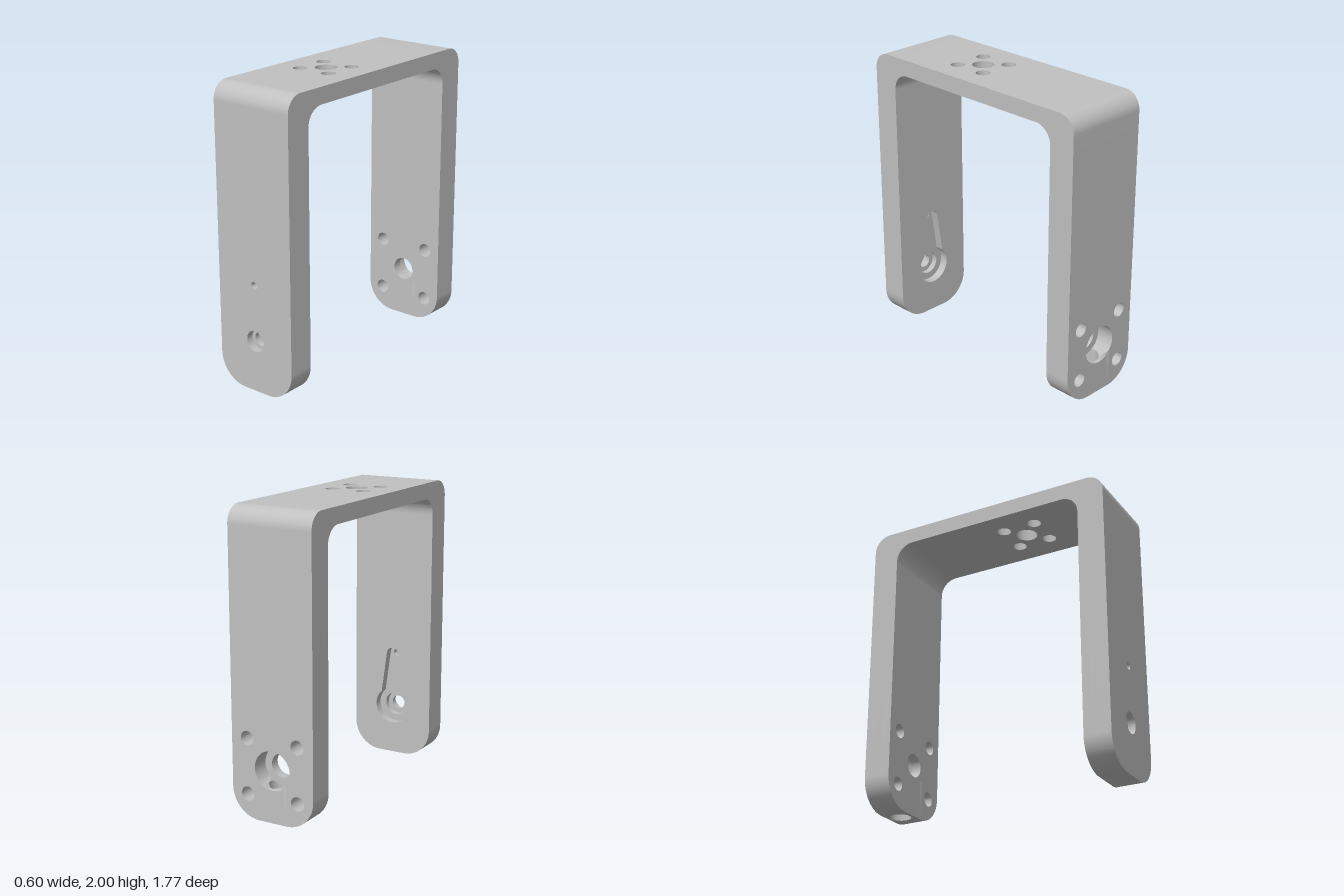
import * as THREE from 'three';
import { toCreasedNormals } from 'three/addons/utils/BufferGeometryUtils.js';

const W = 0.3, OUT = 0.885, IN = 0.70, H = 2, UNDER = 1.89;
const R_IN = 0.12, R_OUT = 0.115, SPRING = UNDER - R_IN, BEND = IN - R_IN;
const FLAT = 0.1, FOOT = 0.2;          // flat width and corner radius of the leg ends
const AXIS = 0.35, BORE = 0.13;        // pivot height and rear bore radius
const NOTCH = AXIS - Math.sqrt(BORE ** 2 - FLAT ** 2);

const circle = (x, y, r) => new THREE.Path().absarc(x, y, r, 0, Math.PI * 2, false);

const extrude = (shape, depth) =>
  new THREE.ExtrudeGeometry(shape, { depth, bevelEnabled: false, curveSegments: 36 });

// Leg outline; the rear leg leaves room for the drilled foot block
function legShape(holes, notch) {
  const s = new THREE.Shape();
  s.moveTo(FLAT, 0);
  s.absarc(FLAT, FOOT, FOOT, -Math.PI / 2, 0, false);
  s.lineTo(W, SPRING);
  s.lineTo(-W, SPRING);
  s.lineTo(-W, FOOT);
  s.absarc(-FLAT, FOOT, FOOT, Math.PI, Math.PI * 1.5, false);
  if (notch) {
    const a = Math.atan2(NOTCH - AXIS, FLAT);
    s.lineTo(-FLAT, NOTCH);
    s.absarc(0, AXIS, BORE, -Math.PI - a, a, notch === 'bore');
    s.lineTo(FLAT, 0);
  }
  s.holes.push(...holes);
  return s;
}

// Pocket for a tapered lever arm with a round hub
function leverPocket() {
  const p = new THREE.Path();
  const armX = 0.088, armY = Math.sqrt(BORE ** 2 - armX ** 2);
  const a = Math.atan2(armY, armX), tip = 0.048, tilt = 0.13;
  p.absarc(0, AXIS, BORE, Math.PI - a, Math.PI * 2 + a, false);
  p.absarc(0, 0.735, tip, tilt, Math.PI - tilt, false);
  p.closePath();
  return p;
}

export function createModel() {
  const group = new THREE.Group();
  const grey = new THREE.MeshStandardMaterial({ color: 0xc0c0c0 });

  function add(name, geometry, parent = group) {
    const mesh = new THREE.Mesh(toCreasedNormals(geometry, 0.5), grey);
    mesh.name = name;
    parent.add(mesh);
    return mesh;
  }
  const layer = (name, parent, z0, z1, holes, notch) =>
    add(name, extrude(legShape(holes, notch), z1 - z0).translate(0, 0, z0), parent);

  // Front leg: lever pocket inside, stepped pivot hole, counterbore outside
  const frontLeg = new THREE.Group();
  frontLeg.name = 'frontLeg';
  group.add(frontLeg);
  const pin = () => circle(0, 0.735, 0.024);
  layer('leverPocketLayer', frontLeg, IN, 0.76, [leverPocket()]);
  layer('hubStepLayer', frontLeg, 0.76, 0.80, [circle(0, AXIS, 0.082), pin()]);
  layer('pivotHoleLayer', frontLeg, 0.80, 0.835, [circle(0, AXIS, 0.048), pin()]);
  layer('counterboreLayer', frontLeg, 0.835, OUT, [circle(0, AXIS, 0.072), pin()]);

  // Rear leg: four screw holes, a shaft hole and a large outer bore
  const rearLeg = new THREE.Group();
  rearLeg.name = 'rearLeg';
  group.add(rearLeg);
  const screws = () => [-1, 1].flatMap(i => [-1, 1].map(j =>
    circle(i * 0.185, AXIS + j * 0.185, 0.048)));
  layer('boreLayer', rearLeg, -OUT, -0.765, screws(), 'bore');
  layer('shaftHoleLayer', rearLeg, -0.765, -IN,
    [circle(0, AXIS, 0.08), ...screws()], 'blind');

  // Foot block with a vertical hole, its top curved to follow the bore
  const block = new THREE.Shape();
  const N = 16;
  for (let i = 0; i <= N; i++) {
    const x = -FLAT + 2 * FLAT * i / N;
    if (i === 0) block.moveTo(x, -OUT);
    else block.lineTo(x, -OUT);
  }
  for (let i = N; i >= 0; i--) block.lineTo(-FLAT + 2 * FLAT * i / N, -IN);
  block.holes.push(circle(0, -(OUT + IN) / 2, 0.07));
  const foot = extrude(block, 1).rotateX(Math.PI / 2);
  const pos = foot.attributes.position;
  for (let i = 0; i < pos.count; i++) {
    const x = pos.getX(i);
    pos.setY(i, pos.getY(i) > -0.5 ? AXIS - Math.sqrt(BORE ** 2 - x * x) : 0);
  }
  add('drilledFoot', foot, rearLeg);

  // Rounded corners joining the legs to the bridge
  for (const side of ['front', 'rear']) {
    const s = new THREE.Shape();
    s.moveTo(OUT, SPRING);
    s.lineTo(OUT, H - R_OUT);
    s.absarc(OUT - R_OUT, H - R_OUT, R_OUT, 0, Math.PI / 2, false);
    s.lineTo(BEND, H);
    s.lineTo(BEND, UNDER);
    s.absarc(BEND, SPRING, R_IN, Math.PI / 2, 0, true);
    s.closePath();
    const corner = add(side + 'Corner',
      extrude(s, 2 * W).rotateY(-Math.PI / 2).translate(W, 0, 0));
    if (side === 'rear') corner.rotation.y = Math.PI;
  }

  // Bridge with a centre hole and four mounting holes
  const top = new THREE.Shape();
  top.moveTo(-W, -BEND);
  top.lineTo(W, -BEND);
  top.lineTo(W, BEND);
  top.lineTo(-W, BEND);
  top.closePath();
  top.holes.push(circle(0, 0.17, 0.072));
  for (const i of [-1, 1]) for (const j of [-1, 1])
    top.holes.push(circle(i * 0.116, 0.17 + j * 0.116, 0.047));
  add('bridge', extrude(top, H - UNDER).rotateX(Math.PI / 2).translate(0, H, 0));

  return group;
}
